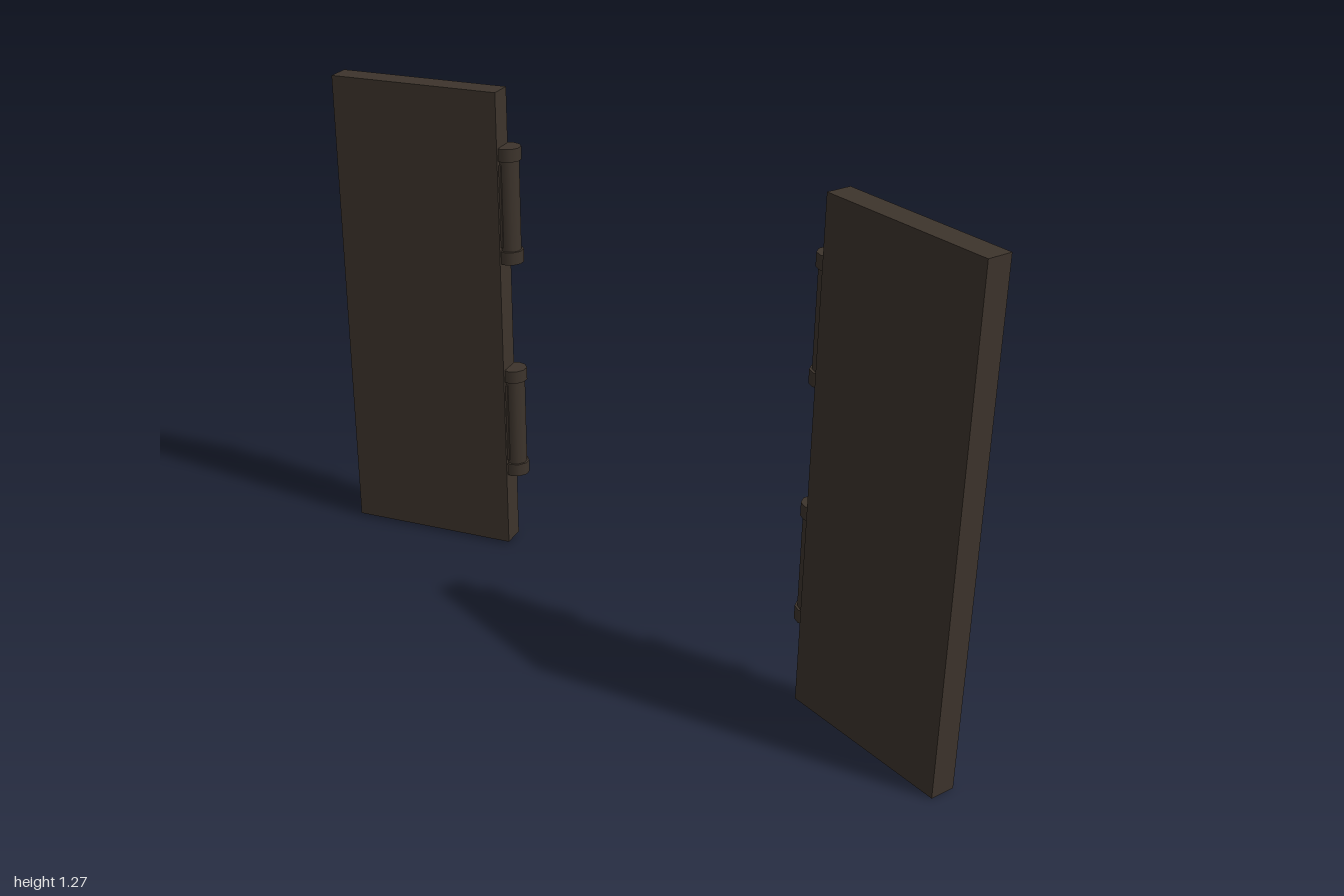
import * as THREE from 'three';

const W = 0.461, H = 1.264, T = 0.065; // door width, height, thickness
const RECESS = 0.027, FRAME = 0.048;

const darkWood = new THREE.MeshStandardMaterial({ color: 0x3d342c });
darkWood.name = 'darkBrown';

function add(parent, name, geometry, x = 0, y = 0, z = 0) {
  const mesh = new THREE.Mesh(geometry, darkWood);
  mesh.name = name;
  mesh.position.set(x, y, z);
  parent.add(mesh);
  return mesh;
}

function rectangle(Path, w, h) {
  const p = new Path();
  p.moveTo(-w / 2, -h / 2);
  p.lineTo(w / 2, -h / 2);
  p.lineTo(w / 2, h / 2);
  p.lineTo(-w / 2, h / 2);
  p.closePath();
  return p;
}

// Barrel hinge with a collar at each end and a thin leaf on the door edge
function createHinge(side) {
  const hinge = new THREE.Group();
  hinge.name = 'hinge';
  add(hinge, 'hingeBarrel', new THREE.CylinderGeometry(0.029, 0.029, 0.3, 10));
  for (const s of [-1, 1]) {
    add(hinge, 'hingeCollar', new THREE.CylinderGeometry(0.035, 0.035, 0.034, 10), 0, s * 0.137, 0);
  }
  add(hinge, 'hingeLeaf', new THREE.BoxGeometry(0.012, 0.22, 0.05), -side * 0.012, 0, 0.006);
  return hinge;
}

// side = +1 puts the hinges on +x, -1 on -x
function createDoor(name, side) {
  const door = new THREE.Group();
  door.name = name;

  // Flat front panel
  const panelDepth = T - RECESS;
  add(door, 'panel', new THREE.BoxGeometry(W, H, panelDepth), 0, 0, T / 2 - panelDepth / 2);

  // Raised frame around the back
  const outline = rectangle(THREE.Shape, W, H);
  outline.holes.push(rectangle(THREE.Path, W - 2 * FRAME, H - 2 * FRAME));
  const frame = new THREE.ExtrudeGeometry(outline, { depth: RECESS, bevelEnabled: false });
  add(door, 'backFrame', frame, 0, 0, -T / 2);

  // Three cross bars, lower than the frame
  for (const i of [-1, 0, 1]) {
    add(door, 'crossBar', new THREE.BoxGeometry(W - 2 * FRAME, 0.065, 0.014),
      0, i * 0.354, -T / 2 + RECESS - 0.007);
  }

  for (const y of [0.333, -0.274]) {
    const hinge = createHinge(side);
    hinge.position.set(side * (W / 2 + 0.012), y, -0.006);
    door.add(hinge);
  }
  return door;
}

export function createModel() {
  const model = new THREE.Group();
  model.name = 'doubleDoors';

  const rightDoor = createDoor('rightDoor', 1);
  rightDoor.position.set(-0.778, 0.644, 0.01);
  rightDoor.rotation.y = 0.436;

  // This door hangs slightly out of true
  const leftDoor = createDoor('leftDoor', -1);
  leftDoor.position.set(0.7525, 0.642, -0.053);
  leftDoor.rotation.set(0, -0.134, -0.024);

  model.add(rightDoor, leftDoor);
  return model;
}
